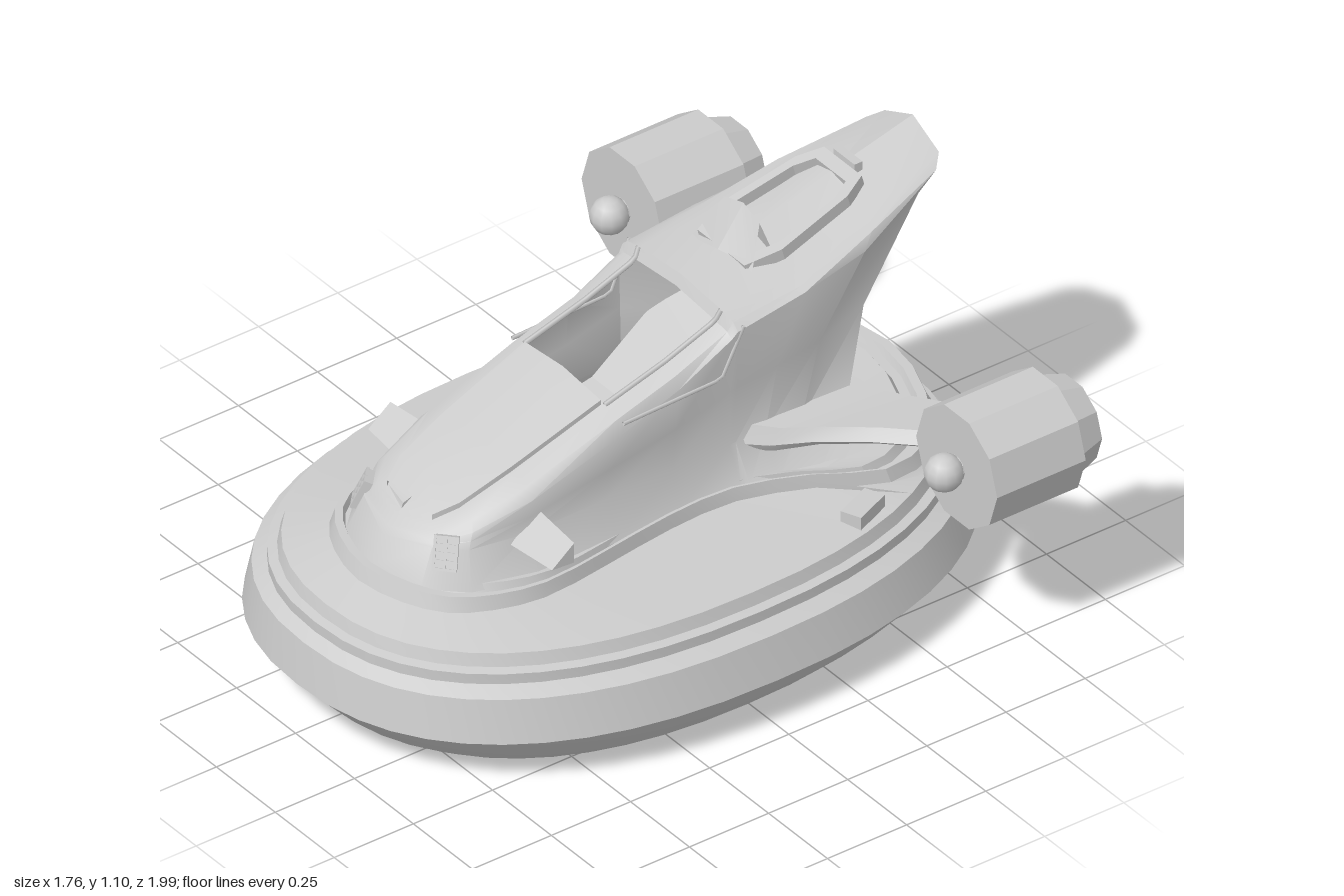
import * as THREE from 'three';
import { toCreasedNormals } from 'three/addons/utils/BufferGeometryUtils.js';

const mat = new THREE.MeshStandardMaterial({ color: 0xcccccc, side: THREE.DoubleSide });

function add(parent, name, geo, x = 0, y = 0, z = 0) {
  const mesh = new THREE.Mesh(geo, mat);
  mesh.name = name;
  mesh.position.set(x, y, z);
  parent.add(mesh);
  return mesh;
}

// Skin over rows of points; skip(i, j) leaves a panel open
function loft(rows, closed = false, skip = () => false, crease = 0.5) {
  const pos = [], n = rows[0].length;
  for (let i = 0; i < rows.length - 1; i++) {
    for (let j = 0; j < (closed ? n : n - 1); j++) {
      if (skip(i, j)) continue;
      const k = (j + 1) % n;
      const a = rows[i][j], b = rows[i + 1][j], c = rows[i + 1][k], d = rows[i][k];
      pos.push(...a, ...b, ...c, ...a, ...c, ...d);
    }
  }
  const g = new THREE.BufferGeometry();
  g.setAttribute('position', new THREE.Float32BufferAttribute(pos, 3));
  return toCreasedNormals(g, crease);
}

const mirrorRow = half => [...half, ...half.slice(0, -1).reverse().map(([x, y, z]) => [-x, y, z])];

function path(points, radius, name, parent) {
  const curve = new THREE.CurvePath();
  const v = points.map(p => new THREE.Vector3(...p));
  for (let i = 1; i < v.length; i++) curve.add(new THREE.LineCurve3(v[i - 1], v[i]));
  add(parent, name, new THREE.TubeGeometry(curve, 16, radius, 5));
}

// Waisted outline of the plinth round the cabin, nose to stern
const plinth = [[0, .77], [.14, .74], [.24, .68], [.3, .58], [.33, .45], [.31, .25], [.28, .03],
  [.28, -.17], [.35, -.36], [.44, -.52], [.4, -.68], [.23, -.8], [0, -.86]];

function buildHull(g) {
  const N = 48;
  const bulge = v => Math.sign(v) * Math.abs(v) ** .87;
  const oval = (a, b, y) => Array.from({ length: N }, (_, k) => {
    const t = k / N * Math.PI * 2;
    return [-a * bulge(Math.sin(t)), y, b * bulge(Math.cos(t)) + 0.005];
  });
  const loop = [...plinth.map(([x, z]) => [-x, z]), ...plinth.slice(1, -1).reverse()];
  const curve = new THREE.CatmullRomCurve3(loop.map(([x, z]) => new THREE.Vector3(x, 0, z)), true);
  const ring = (s, y) => Array.from({ length: N }, (_, k) => {
    const p = curve.getPoint(k / N);
    return [p.x * s, y, p.z * s];
  });
  add(g, 'skirt', loft([oval(.58, .82, 0), oval(.63, .895, .05), oval(.714, .99, .15),
    oval(.685, .97, .27), oval(.64, .935, .29), oval(.64, .935, .32),
    oval(.615, .91, .325), oval(.605, .9, .36)], true));
  add(g, 'deck', loft([oval(.605, .9, .36), ring(1.04, .39), ring(1.02, .43), ring(.99, .43),
    ring(.98, .41), ring(.95, .41), ring(.93, .435), ring(.8, .43)], true));
  add(g, 'sternFloor', loft(plinth.slice(8).map(([x, z]) => [[x * .8, .43, z * .8], [-x * .8, .43, z * .8]])));
  // Cockpit floor rising to a bulkhead, then falling to the stern
  add(g, 'cockpitFloor', loft([[.2, .46, .22], [-.1, .52, .22], [-.3, .7, .2], [-.38, .76, .14],
    [-.48, .55, .2], [-.56, .43, .25]].map(([z, y, w]) => [[w, y, z], [-w, y, z]])));
  for (const s of [1, -1]) {
    add(g, 'deckPad', new THREE.BoxGeometry(.06, .06, .12), s * .5, .37, -.42).rotation.y = s * .4;
  }
}

// Cabin stations: zBase, wBase, wLow, wHigh, yShoulder, zTop, wTop, yTop
const stations = [
  [.765, 0, 0, 0, .52, .66, 0, .57], [.725, .16, .145, .13, .53, .63, .1, .58],
  [.63, .25, .21, .2, .56, .57, .135, .61], [.45, .3, .24, .235, .61, .42, .155, .67],
  [.2, .29, .235, .235, .69, .15, .17, .77], [-.02, .27, .23, .235, .76, -.04, .17, .825],
  [-.2, .28, .23, .24, .85, -.2, .17, .885], [-.22, .29, .23, .245, .87, -.215, .175, .915],
  [-.3, .31, .24, .24, .9, -.45, .17, .965], [-.41, .34, .245, .22, .93, -.7, .15, 1.035],
  [-.55, .37, .25, .15, .98, -.95, .115, 1.1]];

function buildCabin(g) {
  const halves = stations.map(([zb, wb, wl, wh, ys, zt, wt, yt], i) => {
    const edge = yt - (i > 7 ? .05 : .015);
    const at = (x, y) => {
      const s = Math.min(1, Math.max(0, (y - .42) / (yt - .42) / .93));
      return [x, y, zb + (zt - zb) * s ** (i > 7 ? 2.2 : 1.7)];
    };
    return [at(wb, .42), at(wl, .5 + .02 * Math.min(i, 1)), at((wl + wh) / 2, (.52 + ys) / 2),
      at(wh, ys), at((wh + wt) / 2 + .015 * Math.min(i, 1), ys + (edge - ys) * .65), at(wt, edge), at(0, yt)];
  });
  // Open cockpit between windscreen and roof
  add(g, 'cabin', loft(halves.map(mirrorRow), false, (i, j) => (i === 4 || i === 5) && (j === 5 || j === 6), .6));
  // Inner lining: narrows from the cockpit to a waist, then opens to the tail edge
  const waist = [[.2, .43, -.36], [.16, .52, -.36], [.14, .65, -.38], [.115, .77, -.4],
    [.1, .8, -.4], [.07, .825, -.4], [0, .835, -.4]];
  add(g, 'lining', loft([halves[10], waist, halves[6]].map(mirrorRow)));
  // Raised windscreen panel
  const lift = ([x, y, z], d) => [x * .95, y + d, z + .006];
  add(g, 'windscreen', loft(halves.slice(1, 5).map(h =>
    mirrorRow([lift(h[5], -.02), lift(h[5], .013), lift(h[6], .013)]))));
  for (const s of [1, -1]) {
    const flip = p => [p[0] * s, p[1], p[2]];
    path(halves.slice(4, 8).map(h => flip(h[5])), .008, 'cockpitRail', g);
    path([[.236, .73, .14], [.236, .74, -.17], [.243, .88, -.235]].map(flip), .006, 'sideWindowTrim', g);
    // Nose grille
    const grille = new THREE.Group();
    grille.name = 'noseGrille';
    grille.position.set(s * .176, .512, .655);
    grille.lookAt(s * .776, .912, 1.305);
    add(grille, 'grilleBack', new THREE.BoxGeometry(.06, .09, .02));
    for (let k = -2; k <= 2; k++) add(grille, 'grilleBar', new THREE.BoxGeometry(.065, .007, .008), 0, k * .021, .01);
    for (let k = -1; k <= 1; k++) add(grille, 'grillePost', new THREE.BoxGeometry(.007, .092, .008), k * .029, 0, .01);
    g.add(grille);
    // Small wedge canard beside the nose
    slab(g, 'canard', [.2, .39].map((x, i) =>
      [x, [.5 - .02 * i, .505], [.4 + .01 * i, .57 - .01 * i], [.4 + .01 * i, .5]]), s);
  }
}

// Blade from sections: x, then [z, y] corners running front, top, back, bottom
function slab(g, name, sections, s) {
  const rows = sections.map(([x, ...corners]) => {
    const r = corners.map(([z, y]) => [s * x, y, z]);
    return s > 0 ? r : r.reverse();
  });
  const tip = rows[rows.length - 1];
  const mid = [0, 1, 2].map(k => tip.reduce((sum, p) => sum + p[k] / tip.length, 0));
  rows.push(tip.map(() => mid));
  add(g, name, loft(rows, true));
}

function buildRoof(g) {
  const roof = new THREE.Group();
  roof.name = 'roofIntake';
  roof.position.set(0, .98, -.54);
  roof.rotation.x = -Math.PI / 2 + .27;
  const hex = k => [[-.1, -.2], [.1, -.2], [.13, -.1], [.11, .13], [.08, .2], [-.08, .2],
    [-.11, .13], [-.13, -.1]].map(([x, y]) => new THREE.Vector2(x * k, y * k));
  const shape = new THREE.Shape(hex(1));
  shape.holes.push(new THREE.Path(hex(.8)));
  add(roof, 'intakeFrame', new THREE.ExtrudeGeometry(shape, { depth: .035, bevelEnabled: false }), 0, 0, -.02);
  g.add(roof);
  // Raked scoop ahead of the intake
  add(g, 'scoop', loft([
    mirrorRow([[.13, .9, -.34], [0, .935, -.33]]), mirrorRow([[.075, 1.03, -.41], [0, 1.05, -.415]]),
    mirrorRow([[.11, .92, -.44], [0, .95, -.44]])], false, undefined, .3));
  add(g, 'roofStud', new THREE.BoxGeometry(.09, .04, .025), 0, 1.04, -.745);
}

function buildEngine(g, s) {
  const e = new THREE.Group();
  e.name = 'engine';
  e.position.set(s * .71, .57, 0);
  const tube = (name, rFront, rBack, zFront, zBack, open = false, sides = 10) => {
    const geo = new THREE.CylinderGeometry(rFront, rBack, zFront - zBack, sides, 1, open);
    geo.rotateY(Math.PI / sides).rotateX(Math.PI / 2);
    add(e, name, toCreasedNormals(geo, .4), 0, 0, (zFront + zBack) / 2);
  };
  tube('engineCasing', .172, .172, -.56, -.84);
  tube('nozzle', .15, .12, -.84, -.93, true);
  tube('nozzleLiner', .125, .105, -.84, -.93, true);
  tube('exhaustSpike', .075, .001, -.84, -.995);
  tube('hubStem', .035, .035, -.52, -.56);
  add(e, 'hub', new THREE.SphereGeometry(.052, 12, 8), 0, 0, -.52);
  add(e, 'nozzleLip', new THREE.RingGeometry(.105, .12, 10), 0, 0, -.93);
  g.add(e);
}

export function createModel() {
  const g = new THREE.Group();
  g.name = 'hovercraft';
  buildHull(g);
  buildCabin(g);
  buildRoof(g);
  // Wing stations: x, front z, back z, top y, bottom y
  const wing = [[.22, -.22, -.6, .56, .48], [.28, -.29, -.62, .55, .485], [.34, -.38, -.655, .55, .5],
    [.44, -.485, -.71, .56, .515], [.57, -.59, -.78, .575, .53]].map(([x, zf, zb, yt, yb]) =>
    [x, [zf, (yt + yb) / 2 - .01], [zf - .03, yt], [zb, yt], [zb, yb], [zf - .02, yb]]);
  for (const s of [1, -1]) {
    buildEngine(g, s);
    slab(g, 'wing', wing, s);
  }
  return g;
}
